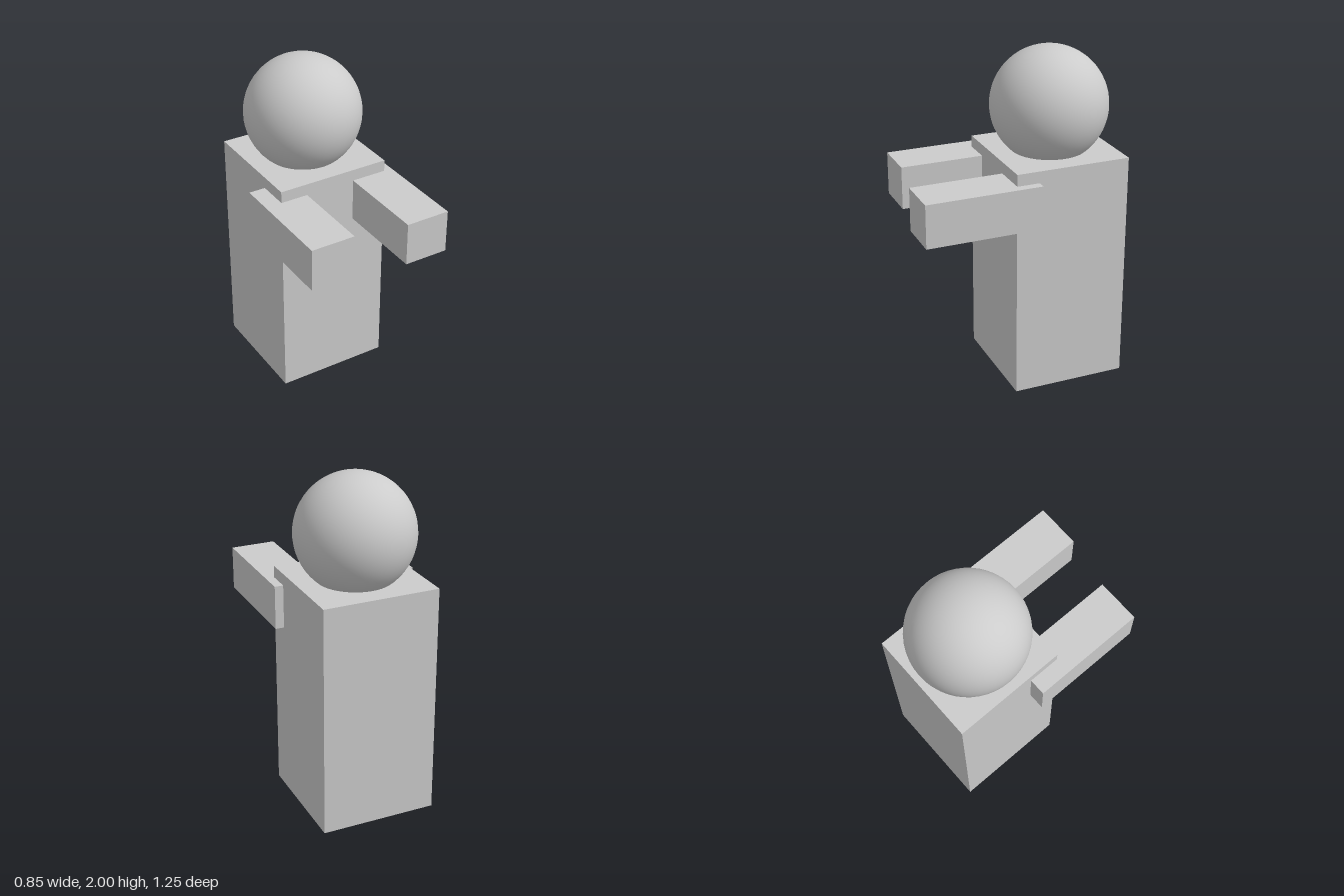
import * as THREE from 'three';

export function createModel() {
  const model = new THREE.Group();
  const material = new THREE.MeshStandardMaterial({ color: 0xcccccc });

  const add = (name, geometry, x, y, z) => {
    const mesh = new THREE.Mesh(geometry, material);
    mesh.name = name;
    mesh.position.set(x, y, z);
    model.add(mesh);
  };

  // Upright block body with a ball head sunk slightly into its top
  const width = 0.693, height = 1.39, x = 0.023, z = -0.28;
  add('body', new THREE.BoxGeometry(width, height, width), x, height / 2, z);
  add('head', new THREE.SphereGeometry(width / 2, 48, 32), x, 2 - width / 2, z);

  // Arms reaching forward, the right one set a little further back
  const arm = new THREE.BoxGeometry(0.268, 0.26, 0.693);
  add('leftArm', arm, 0.287, 1.19, 0.277);
  add('rightArm', arm, -0.29, 1.19, 0.22);

  return model;
}
